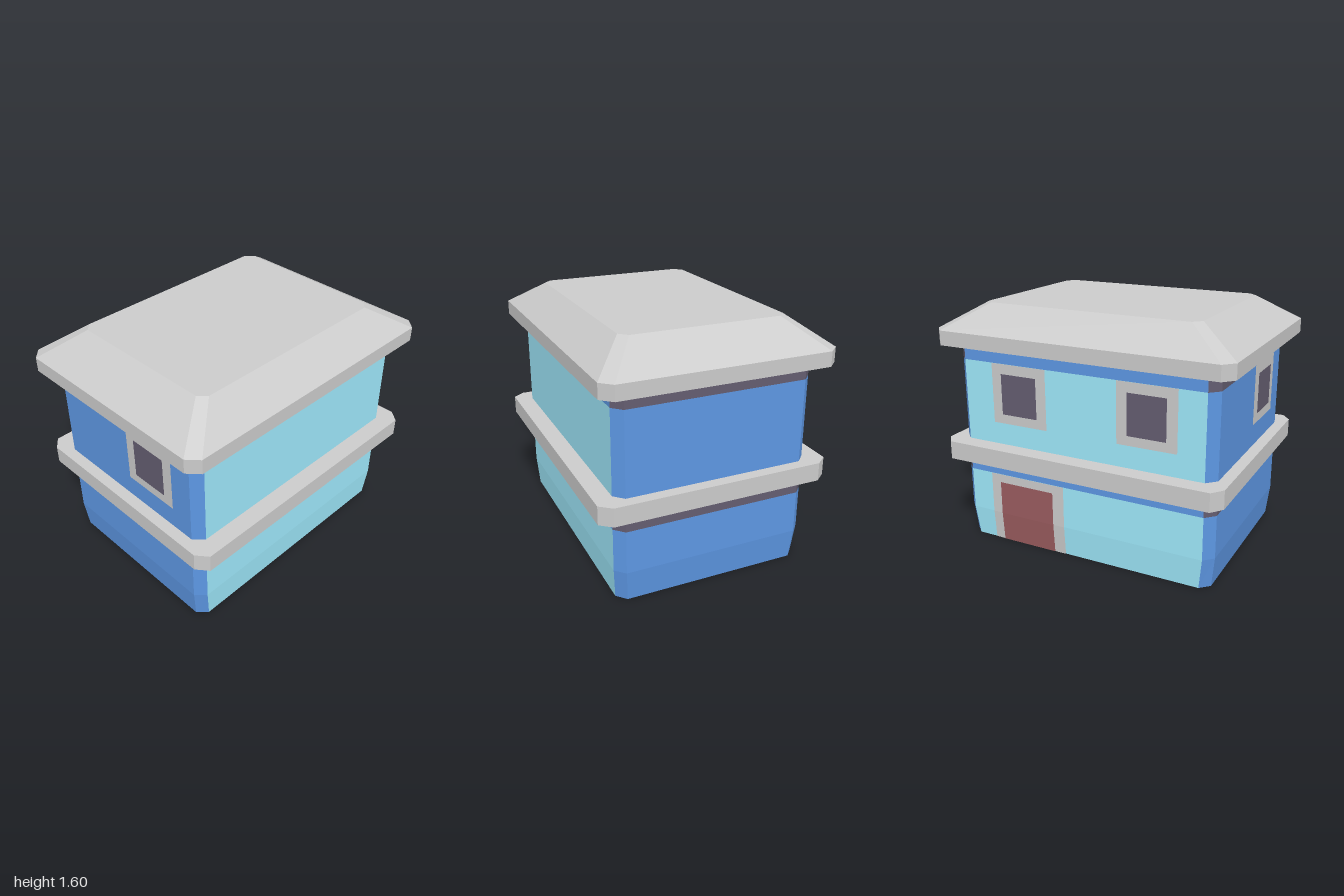
import * as THREE from 'three';

const COLORS = { grey: 0xcccccc, blue: 0x5d97e3, cyan: 0x9ee8fb, dark: 0x645d70, door: 0x9a5c5f };

function material(name) {
  return new THREE.MeshStandardMaterial({ color: COLORS[name], flatShading: true });
}

// Chamfered rectangle at height y: half sizes hx, hz; straight edges end at cx, cz
function ring(y, hx, hz, cx, cz) {
  return [[hx, cz], [hx, -cz], [cx, -hz], [-cx, -hz], [-hx, -cz], [-hx, cz], [-cx, hz], [cx, hz]]
    .map(([x, z]) => new THREE.Vector3(x, y, z));
}

// Edges of the ring, by the wall they belong to
const SIDES = [0, 4], ENDS = [2, 6], CORNERS = [1, 3, 5, 7];
const ALL = [0, 1, 2, 3, 4, 5, 6, 7];

function geometryFrom(points) {
  const geometry = new THREE.BufferGeometry().setFromPoints(points);
  geometry.computeVertexNormals();
  return geometry;
}

// Joins successive rings along the chosen edges
function loft(rings, edges) {
  const points = [];
  for (let i = 0; i + 1 < rings.length; i++) {
    for (const k of edges) {
      const n = (k + 1) % 8;
      const a = rings[i][k], b = rings[i][n], c = rings[i + 1][n], d = rings[i + 1][k];
      points.push(a, b, c, a, c, d);
    }
  }
  return geometryFrom(points);
}

function cap(r, up) {
  const points = [];
  for (let k = 1; k < 7; k++) points.push(r[0], up ? r[k] : r[k + 1], up ? r[k + 1] : r[k]);
  return geometryFrom(points);
}

const WALL_X = 0.64, WALL_Z = 0.89, TAPER_TOP = 0.2;
const wallRing = (y) => {
  const t = Math.max(0, 1 - y / TAPER_TOP);
  return ring(y, WALL_X - 0.015 * t, WALL_Z - 0.022 * t, 0.58 - 0.012 * t, 0.83 - 0.022 * t);
};

export function createModel() {
  const model = new THREE.Group();
  const add = (parent, name, geometry, color) => {
    const mesh = new THREE.Mesh(geometry, material(color));
    mesh.name = name;
    parent.add(mesh);
    return mesh;
  };

  // Walls: a plain stretch and a coloured band under each overhang
  const addWalls = (name, heights, sideColor, endColor, cornerColor) => {
    const group = new THREE.Group();
    group.name = name;
    const rings = heights.map(wallRing);
    add(group, 'sideWalls', loft(rings, SIDES), sideColor);
    add(group, 'endWalls', loft(rings, ENDS), endColor);
    add(group, 'cornerWalls', loft(rings, CORNERS), cornerColor);
    model.add(group);
  };
  addWalls('lowerWalls', [0, TAPER_TOP, 0.48], 'cyan', 'blue', 'blue');
  addWalls('lowerBand', [0.48, 0.6], 'blue', 'dark', 'dark');
  addWalls('upperWalls', [0.7, 1.24], 'cyan', 'blue', 'blue');
  addWalls('upperBand', [1.24, 1.41], 'blue', 'dark', 'dark');
  add(model, 'floor', cap(wallRing(0), false), 'cyan');

  // Undersides slope up from the overhang edge to the wall
  const addUnderside = (name, wallY, outer) => {
    const rings = [wallRing(wallY), outer];
    add(model, name, loft(rings, [...SIDES, ...ENDS]), 'cyan');
    add(model, name + 'Corners', loft(rings, CORNERS), 'blue');
  };

  // Ledge between the floors
  const ledge = (y) => ring(y, 0.755, 0.965, 0.68, 0.905);
  add(model, 'ledge', loft([ledge(0.58), ledge(0.7), wallRing(0.7)], ALL), 'grey');
  addUnderside('ledgeUnderside', 0.6, ledge(0.58));

  // Hipped roof with a flat top
  const eave = (y) => ring(y, 0.743, 1, 0.672, 0.935);
  const roofTop = ring(1.6, 0.53, 0.73, 0.48, 0.68);
  add(model, 'roofSlopes', loft([eave(1.34), eave(1.435), roofTop], ALL), 'grey');
  add(model, 'roofTop', cap(roofTop, true), 'grey');
  addUnderside('roofUnderside', 1.41, eave(1.34));

  // Flat panel facing +z that follows the taper at the foot of the wall
  const panel = (u0, u1, y0, y1, lift) => {
    const geometry = new THREE.PlaneGeometry(u1 - u0, y1 - y0, 1, 2);
    geometry.translate((u0 + u1) / 2, (y0 + y1) / 2, 0);
    const p = geometry.attributes.position;
    if (y0 < TAPER_TOP) [2, 3].forEach((i) => p.setY(i, TAPER_TOP));
    for (let i = 0; i < p.count; i++) {
      p.setZ(i, lift - 0.015 * Math.max(0, 1 - p.getY(i) / TAPER_TOP));
    }
    geometry.computeVertexNormals();
    return geometry;
  };

  // Opening: a grey surround with a coloured panel on it
  const addOpening = (name, outer, inner, color, onSide) => {
    const group = new THREE.Group();
    group.name = name;
    add(group, 'surround', panel(...outer, 0.003), 'grey');
    add(group, 'panel', panel(...inner, 0.006), color);
    if (onSide) {
      group.rotation.y = -Math.PI / 2;
      group.position.x = -WALL_X;
    } else {
      group.position.z = WALL_Z;
    }
    model.add(group);
  };
  const addWindow = (name, u, onSide) => addOpening(name,
    [u - 0.197, u + 0.197, 0.845, 1.24], [u - 0.128, u + 0.128, 0.907, 1.175], 'dark', onSide);
  addWindow('frontWindow', 0.232, false);
  addWindow('rearSideWindow', -0.425, true);
  addWindow('foreSideWindow', 0.46, true);
  addOpening('door', [-0.67, -0.12, 0, 0.48], [-0.6, -0.2, 0, 0.425], 'door', true);

  return model;
}
